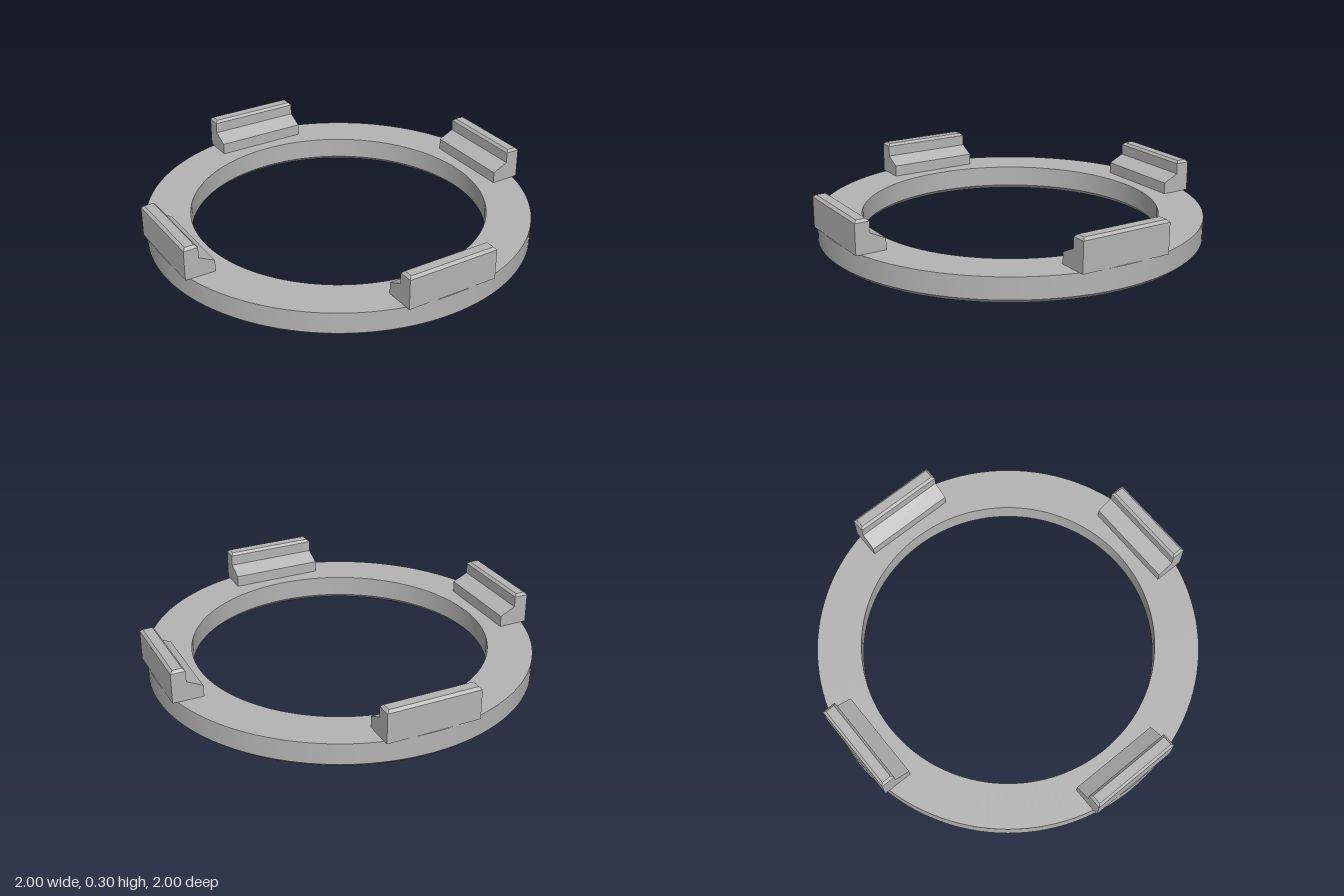
import * as THREE from 'three';
import { toCreasedNormals } from 'three/addons/utils/BufferGeometryUtils.js';

const CLIP_HALF = 0.245; // half the clip's length
const OUT = 0.995;       // outer face of a clip
const LIP_IN = 0.92;     // inner face of the upright lip
const RING_TOP = 0.13;
const LIP_Y = 0.287;     // where the top chamfer starts
const BEVEL = 0.013;

// Ring with chamfered lower edges
function ringGeometry() {
  const profile = [
    [0.77, 0.02], [0.788, 0], [0.98, 0], [1, 0.02],
    [1, RING_TOP], [0.77, RING_TOP], [0.77, 0.02],
  ].map(([r, y]) => new THREE.Vector2(r, y));
  return toCreasedNormals(new THREE.LatheGeometry(profile, 128), 0.5);
}

// Stepped clip body, its profile swept along the tangent
function clipGeometry() {
  const shape = new THREE.Shape([
    [0.838, RING_TOP - 0.01], [OUT, RING_TOP - 0.01], [OUT, RING_TOP], [OUT, LIP_Y],
    [LIP_IN, LIP_Y], [LIP_IN, 0.23], [0.838, 0.19],
  ].map(([x, y]) => new THREE.Vector2(x, y === RING_TOP - 0.01 ? RING_TOP : y)));
  const g = new THREE.ExtrudeGeometry(shape, { depth: CLIP_HALF * 2, bevelEnabled: false });
  return g.translate(0, 0, -CLIP_HALF);
}

// Chamfered top of the lip: a box with its upper corners drawn in
function clipTopGeometry() {
  const w = OUT - LIP_IN;
  const g = new THREE.BoxGeometry(w, BEVEL, CLIP_HALF * 2).toNonIndexed();
  const p = g.attributes.position;
  for (let i = 0; i < p.count; i++) {
    if (p.getY(i) > 0) {
      p.setX(i, p.getX(i) - Math.sign(p.getX(i)) * BEVEL);
      p.setZ(i, p.getZ(i) - Math.sign(p.getZ(i)) * BEVEL);
    }
  }
  g.computeVertexNormals();
  return g.translate((OUT + LIP_IN) / 2, LIP_Y + BEVEL / 2, 0);
}

export function createModel() {
  const model = new THREE.Group();
  model.name = 'clipRing';
  const grey = new THREE.MeshStandardMaterial({ color: 0xb4b4b4 });
  grey.name = 'grey';

  const add = (parent, name, geometry) => {
    const mesh = new THREE.Mesh(geometry, grey);
    mesh.name = name;
    parent.add(mesh);
  };

  add(model, 'ring', ringGeometry());

  // Four clips, a quarter turn apart
  const body = clipGeometry();
  const top = clipTopGeometry();
  ['leftClip', 'backClip', 'rightClip', 'frontClip'].forEach((name, i) => {
    const clip = new THREE.Group();
    clip.name = name;
    add(clip, 'clipBody', body);
    add(clip, 'clipTop', top);
    clip.rotation.y = i * Math.PI / 2;
    model.add(clip);
  });
  return model;
}
